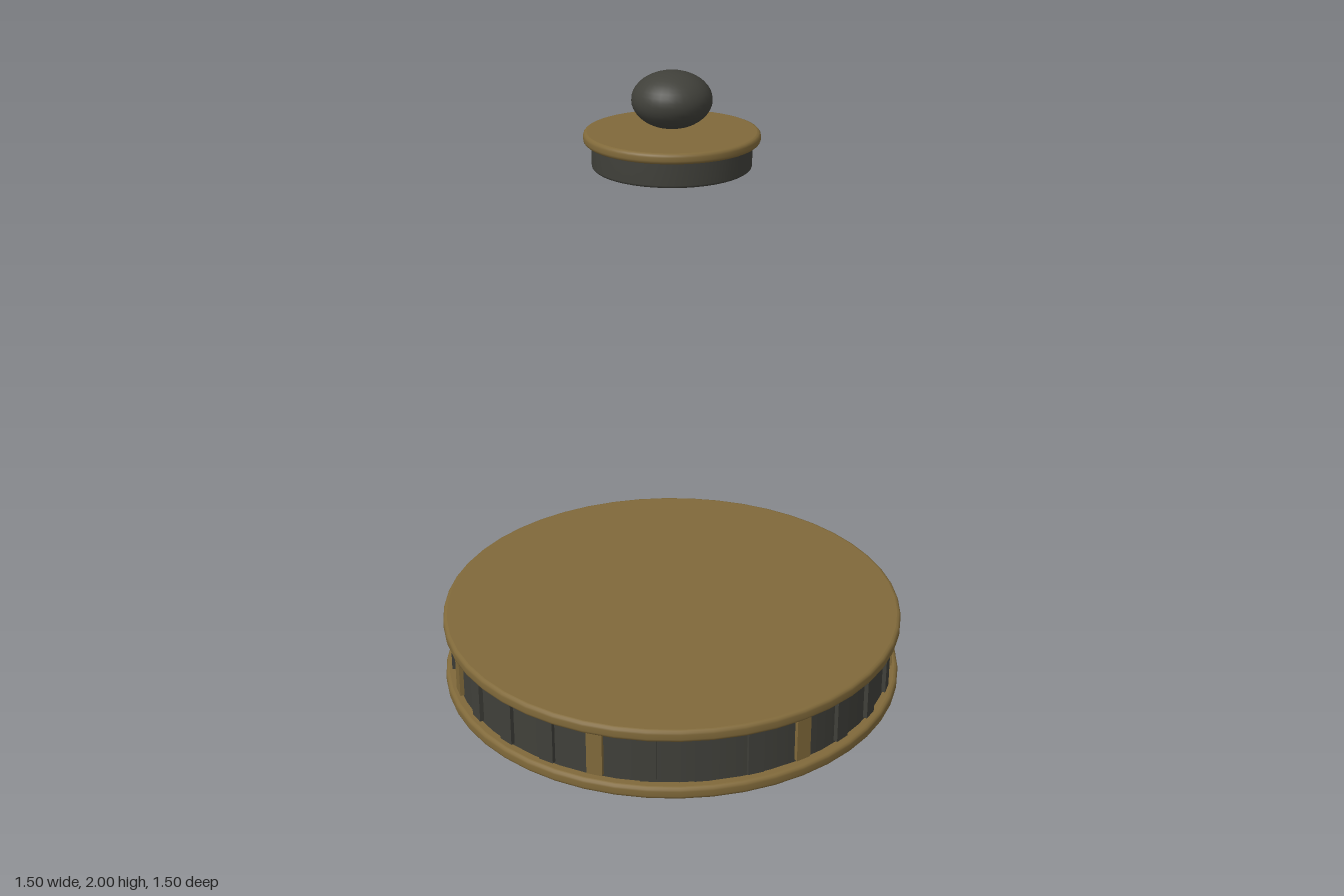
import * as THREE from 'three';

const gold = new THREE.MeshStandardMaterial({ color: 0x80693a });
gold.name = 'antique gold';
const charcoal = new THREE.MeshStandardMaterial({ color: 0x40403a });
charcoal.name = 'charcoal';

function add(parent, name, geometry, material) {
  const mesh = new THREE.Mesh(geometry, material);
  mesh.name = name;
  parent.add(mesh);
  return mesh;
}

// Solid disc from y0 to y1 with a rounded rim; repeated points keep the flat caps crisp
function disc(radius, y0, y1, round, segments = 48) {
  const pts = [new THREE.Vector2(0, y0), new THREE.Vector2(radius - round, y0)];
  for (const [cy, start] of [[y0 + round, -Math.PI / 2], [y1 - round, 0]]) {
    for (let i = 0; i <= 3; i++) {
      const a = start + (i / 3) * Math.PI / 2;
      pts.push(new THREE.Vector2(radius - round + Math.cos(a) * round, cy + Math.sin(a) * round));
    }
  }
  pts.push(new THREE.Vector2(radius - round, y1), new THREE.Vector2(0, y1));
  return new THREE.LatheGeometry(pts, segments);
}

export function createModel() {
  const model = new THREE.Group();
  model.name = 'model';

  // Base: dark drum between two gold plates
  const base = new THREE.Group();
  base.name = 'base';
  model.add(base);
  add(base, 'lowerPlate', disc(0.75, 0, 0.04, 0.012), gold);
  add(base, 'upperPlate', disc(0.75, 0.2, 0.24, 0.012), gold);
  const drum = add(base, 'baseDrum', new THREE.CylinderGeometry(0.717, 0.717, 0.17, 48, 1, true), charcoal);
  drum.position.y = 0.12;

  // Ring of 28 upright ribs, every fourth one gold
  const ribGeometry = new THREE.BoxGeometry(0.03, 0.145, 0.05);
  for (let i = 0; i < 28; i++) {
    const a = (i / 28) * Math.PI * 2;
    const isGold = i % 4 === 0;
    const rib = add(base, isGold ? 'goldRib' : 'darkRib', ribGeometry, isGold ? gold : charcoal);
    rib.position.set(Math.cos(a) * 0.714, 0.121, Math.sin(a) * 0.714);
    rib.rotation.y = -a;
  }

  // Floating cap: dark drum, gold collar and flattened ball
  const cap = new THREE.Group();
  cap.name = 'cap';
  model.add(cap);
  add(cap, 'capDrum', disc(0.237, 1.717, 1.8, 0.008), charcoal);
  add(cap, 'capCollar', disc(0.261, 1.792, 1.824, 0.011), gold);
  const ball = add(cap, 'capBall', new THREE.SphereGeometry(0.119, 32, 20), charcoal);
  ball.scale.y = 0.7;
  ball.position.y = 1.9167;

  return model;
}
